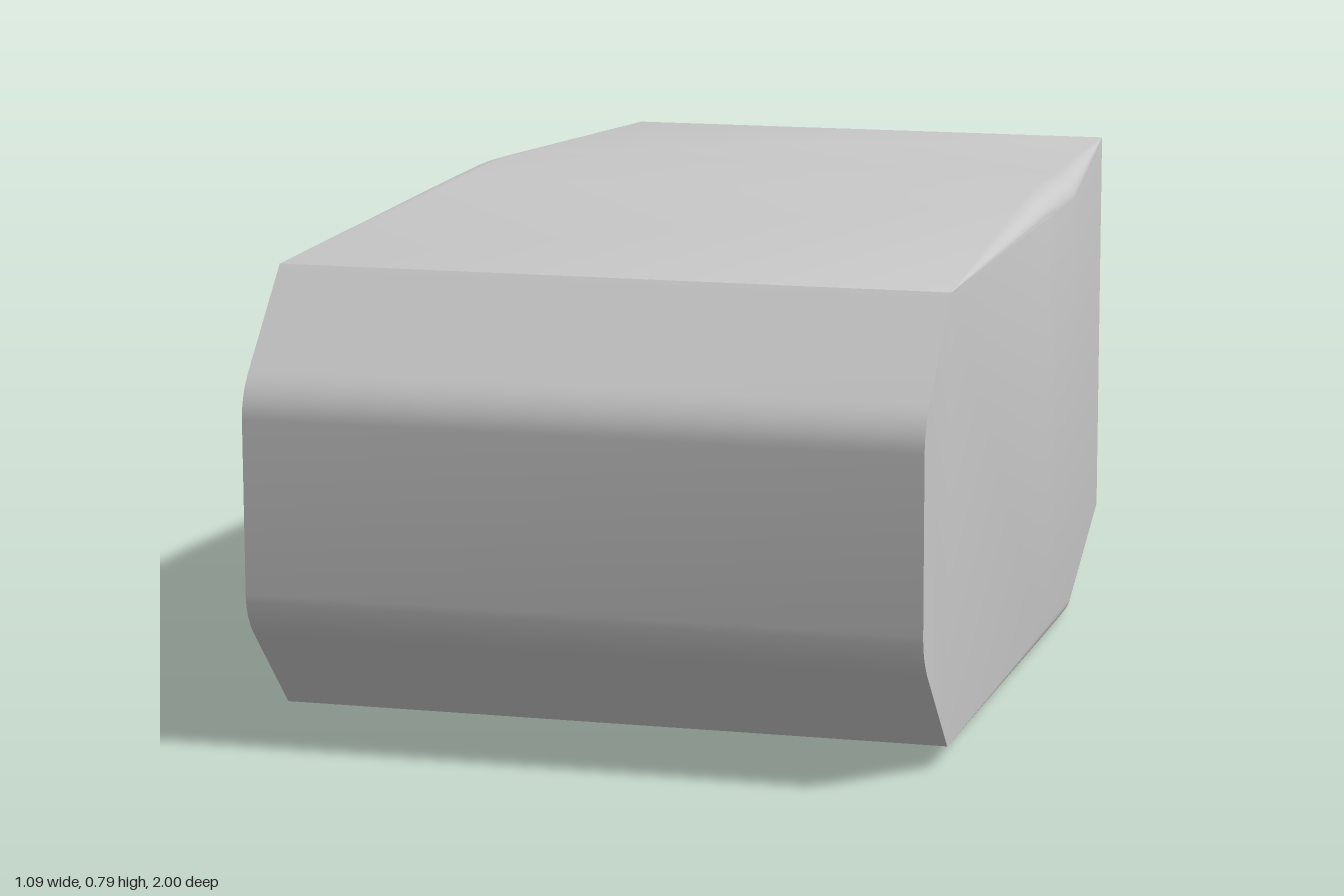
import * as THREE from 'three';
import { toCreasedNormals } from 'three/addons/utils/BufferGeometryUtils.js';

const MID = 0.3935;   // centre height
const HALF = 0.3585;  // half height of the flat side walls
const ARC = 6;        // steps in each rounded long edge

// One cross-section, counter-clockwise seen from the front.
// half: half height of the side wall, crown: rise of the top and bottom above it
function section(z, half, crown) {
  const taper = Math.max(0, -0.2 - z) / 0.8;
  const right = 0.545 - 0.098 * taper;
  const left = -0.545 + 0.075 * taper;
  const rx = crown * 1.4;
  const ring = [];
  const corner = (x, sx, sy, from) => {
    for (let i = 0; i <= ARC; i++) {
      const t = (from ? ARC - i : i) / ARC * Math.PI / 2;
      ring.push([x - sx * rx * (1 - Math.cos(t)), MID + sy * (half + crown * Math.sin(t)), z]);
    }
  };
  corner(right, 1, 1, false);
  corner(left, -1, 1, true);
  corner(left, -1, -1, false);
  corner(right, 1, -1, true);
  return ring;
}

function bodyGeometry() {
  const rings = [];
  // rounded nose blending into the 45 degree chamfer
  for (let i = 0; i <= 6; i++) {
    const t = i / 6, s = 1 - t;
    const z = s * s + 2 * s * t + t * t * 0.965;
    const half = s * s * 0.14 + 2 * s * t * 0.1785 + t * t * 0.2135;
    rings.push(section(z, half, 0));
  }
  // gently crowned body from the chamfer to the flat back
  const crowns = [[0.82, 0], [0.05, 0.03], [-0.05, 0.033], [-0.13, 0.035],
    [-0.2, 0.034], [-0.28, 0.0315], [-1, 0]];
  for (const [z, crown] of crowns) rings.push(section(z, HALF, crown));

  const n = rings[0].length;
  const index = [];
  for (let r = 0; r < rings.length - 1; r++) {
    for (let i = 0; i < n; i++) {
      const j = (i + 1) % n;
      const a = r * n + i, b = r * n + j;
      index.push(a, a + n, b, b, a + n, b + n);
    }
  }
  // flat front and back caps
  const last = (rings.length - 1) * n;
  for (let i = 1; i < n - 1; i++) {
    index.push(0, i, i + 1);
    index.push(last, last + i + 1, last + i);
  }
  // drop zero-area triangles where the rounded edges vanish
  const points = rings.flat().map(p => new THREE.Vector3(...p));
  const tri = new THREE.Triangle();
  const kept = [];
  for (let i = 0; i < index.length; i += 3) {
    const f = index.slice(i, i + 3);
    tri.set(points[f[0]], points[f[1]], points[f[2]]);
    if (tri.getArea() > 1e-8) kept.push(...f);
  }
  const geometry = new THREE.BufferGeometry().setFromPoints(points);
  geometry.setIndex(kept);
  return toCreasedNormals(geometry, 0.5);
}

export function createModel() {
  const group = new THREE.Group();
  group.name = 'chamferedBlock';
  const grey = new THREE.MeshStandardMaterial({ color: 0xc8c8c8 });
  grey.name = 'light grey';
  const body = new THREE.Mesh(bodyGeometry(), grey);
  body.name = 'body';
  group.add(body);
  return group;
}
